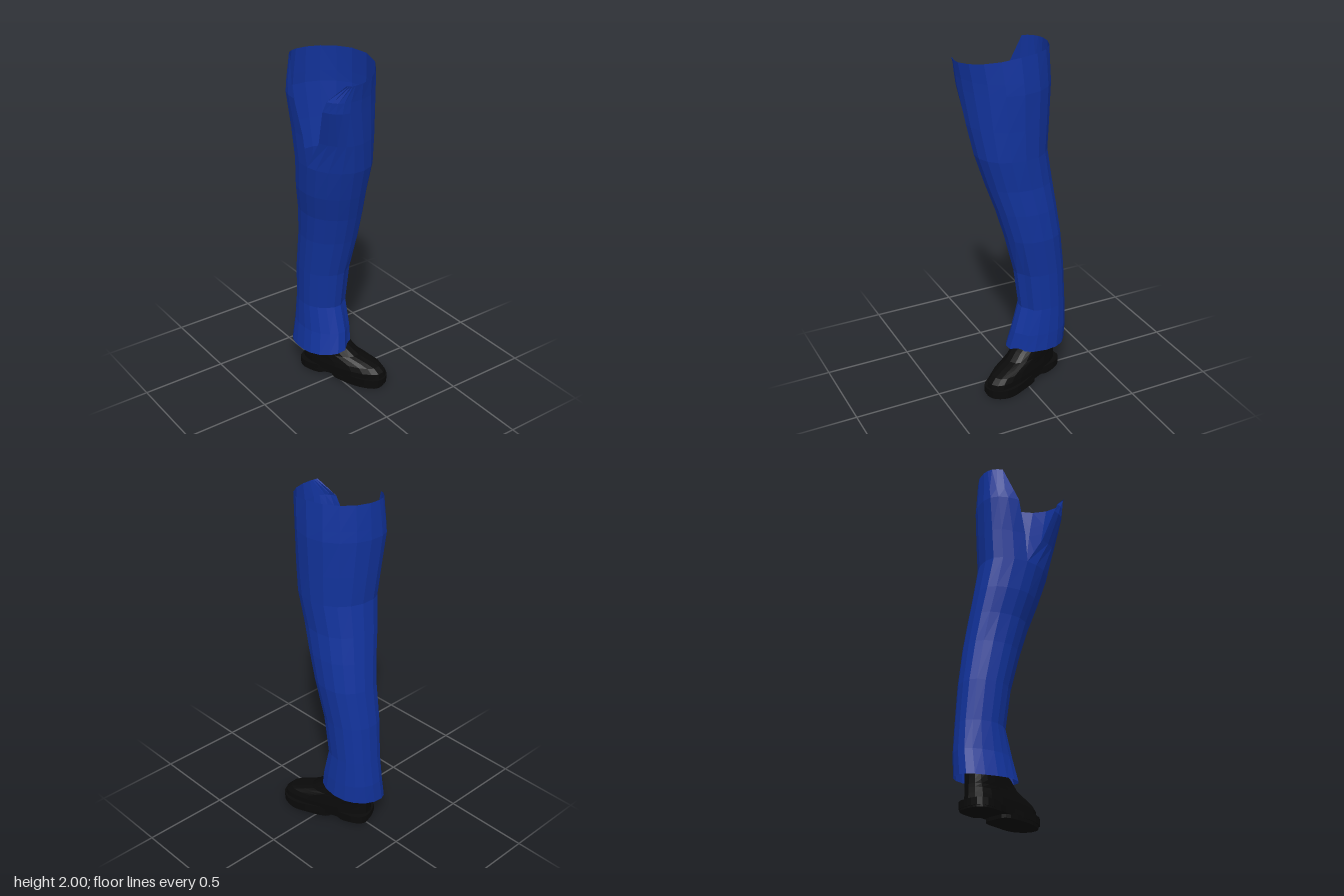
import * as THREE from 'three';

const RAD = Math.PI / 180;

// Skin a list of equally long point rows into a surface
function loft(rows) {
  const n = rows[0].length, index = [];
  for (let j = 0; j < rows.length - 1; j++) {
    for (let i = 0; i < n - 1; i++) {
      const a = j * n + i, b = a + 1, c = a + n, d = c + 1;
      index.push(a, b, d, a, d, c);
    }
  }
  const g = new THREE.BufferGeometry();
  g.setAttribute('position', new THREE.Float32BufferAttribute(rows.flat(2), 3));
  g.setIndex(index);
  g.computeVertexNormals();
  return g;
}

// Rounded-off unit curve: angle runs from -x over +z to +x
function round(phi, power) {
  const f = v => Math.sign(v) * Math.abs(v) ** (2 / power);
  return [-f(Math.cos(phi)), f(Math.sin(phi))];
}

function makeTrouserLeg(material) {
  // height, inner x, outer x, front z, back z, front skew, back skew, front gap, back gap
  const levels = [
    [0.20, -0.14, 0.14, 0.06, -0.315, 0.00, -0.04, 0, 0],
    [0.31, -0.12, 0.14, 0.035, -0.315, 0.01, -0.03, 0, 0],
    [0.47, -0.115, 0.135, -0.01, -0.302, 0.01, -0.02, 0, 0],
    [0.70, -0.125, 0.145, 0.02, -0.287, 0.01, -0.02, 0, 0],
    [0.93, -0.135, 0.165, 0.08, -0.257, 0.01, -0.02, 0, 0],
    [1.10, -0.15, 0.165, 0.13, -0.235, 0.01, -0.03, 0, 0],
    [1.25, -0.18, 0.157, 0.18, -0.215, 0.01, -0.03, 0, 0],
    [1.43, -0.20, 0.165, 0.235, -0.19, 0.00, -0.04, 0, 0],
    [1.60, -0.21, 0.17, 0.265, -0.205, -0.03, -0.05, 26, 5],
    [1.80, -0.23, 0.175, 0.29, -0.22, -0.06, -0.06, 36, 16],
    [1.86, -0.225, 0.172, 0.297, -0.217, -0.065, -0.06, 42, 24],
    [2.00, -0.205, 0.162, 0.312, -0.21, -0.07, -0.06, 72, 42],
  ];
  const columns = 18;
  const rows = levels.map(([y, x0, x1, zf, zb, skewF, skewB, gapF, gapB], j) => {
    const row = [];
    for (let i = 0; i <= columns; i++) {
      // only the quarters beside the inseam give way to the gap
      let angle = i * 360 / columns;
      if (angle < 90) angle = gapF + angle * (90 - gapF) / 90;
      if (angle > 270) angle = 270 + (angle - 270) * (90 - gapB) / 90;
      const innerFront = angle > 0 && angle < 90 && y < 1.7;
      const [u, v] = round(angle * RAD, innerFront ? 1.8 : 2.25);
      // a fold runs down the outer front of the shin
      const dent = i === 6 && j < 4 ? 0.92 : 1;
      const skew = (v > 0 ? skewF : skewB) * v * v;
      const x = (x0 + x1) / 2 + u * dent * (x1 - x0) / 2 + skew;
      const z = (zf + zb) / 2 + v * dent * (zf - zb) / 2;
      let h = y;
      // hem hangs lower at the back and inner side, waist dips at the front
      if (j === 0) h += 0.01 * v - 0.015 + 0.015 * u;
      if (j === levels.length - 1) h -= 0.05 * Math.max(0, z / 0.31) ** 1.4;
      row.push([x, h, z]);
    }
    return row;
  });
  const mesh = new THREE.Mesh(loft(rows), material);
  mesh.name = 'trouserLeg';
  return mesh;
}

// Flat slab with a curved outline, lying between two heights
function slab(name, points, y0, y1, material) {
  const curve = new THREE.SplineCurve(points.map(([x, z]) => new THREE.Vector2(x, -z)));
  const shape = new THREE.Shape(curve.getPoints(32));
  const g = new THREE.ExtrudeGeometry(shape, { depth: y1 - y0, bevelEnabled: false });
  g.rotateX(-Math.PI / 2).translate(0, y0, 0);
  const mesh = new THREE.Mesh(g, material);
  mesh.name = name;
  return mesh;
}

function makeShoe(material) {
  const shoe = new THREE.Group();
  shoe.name = 'shoe';

  // upper: height, back, front, half width, sideways shift of the toe
  const levels = [
    [0.05, -0.268, 0.275, 0.094, 0.012],
    [0.09, -0.266, 0.268, 0.094, 0.012],
    [0.12, -0.265, 0.235, 0.09, 0.012],
    [0.14, -0.264, 0.17, 0.088, 0.01],
    [0.16, -0.263, 0.10, 0.087, 0.005],
    [0.20, -0.26, 0.045, 0.086, 0],
    [0.24, -0.255, -0.02, 0.084, 0],
    [0.32, -0.25, -0.06, 0.078, 0],
    [0.32, -0.156, -0.154, 0.001, 0],
  ];
  const rows = levels.map(([y, back, front, half, shift]) => {
    const row = [];
    for (let i = 0; i <= 20; i++) {
      const [u, v] = round(i * 18 * RAD, 2.5);
      const z = (front + back) / 2 + v * (front - back) / 2;
      row.push([u * half + shift * Math.max(0, v), y, z]);
    }
    return row;
  });
  const upper = new THREE.Mesh(loft(rows), material);
  upper.name = 'shoeUpper';
  shoe.add(upper);

  // sole with a raised heel and forefoot tread
  shoe.add(slab('sole', [
    [0, -0.275], [0.07, -0.26], [0.1, -0.19], [0.088, -0.05], [0.108, 0.1], [0.104, 0.2],
    [0.06, 0.262], [0, 0.282], [-0.06, 0.25], [-0.09, 0.13], [-0.075, -0.03],
    [-0.1, -0.18], [-0.07, -0.26], [0, -0.275],
  ], 0.02, 0.06, material));
  shoe.add(slab('heel', [
    [0, -0.27], [0.07, -0.255], [0.095, -0.19], [0.085, -0.1], [0, -0.09],
    [-0.085, -0.1], [-0.095, -0.19], [-0.07, -0.255], [0, -0.27],
  ], 0.01, 0.03, material));
  shoe.add(slab('forefootTread', [
    [0, -0.05], [0.085, -0.03], [0.1, 0.1], [0.095, 0.19], [0.055, 0.25], [0, 0.27],
    [-0.055, 0.24], [-0.085, 0.13], [-0.07, -0.03], [0, -0.05],
  ], 0, 0.03, material));

  // the foot is turned outwards
  shoe.position.set(0.06, 0, 0);
  shoe.rotation.y = 0.39;
  return shoe;
}

export function createModel() {
  const cloth = new THREE.MeshStandardMaterial({ color: 0x12339c, flatShading: true, side: THREE.DoubleSide });
  const leather = new THREE.MeshStandardMaterial({ color: 0x0a0a0a, flatShading: true, side: THREE.DoubleSide });
  const model = new THREE.Group();
  model.name = 'clothedLeg';
  model.add(makeTrouserLeg(cloth), makeShoe(leather));
  return model;
}
